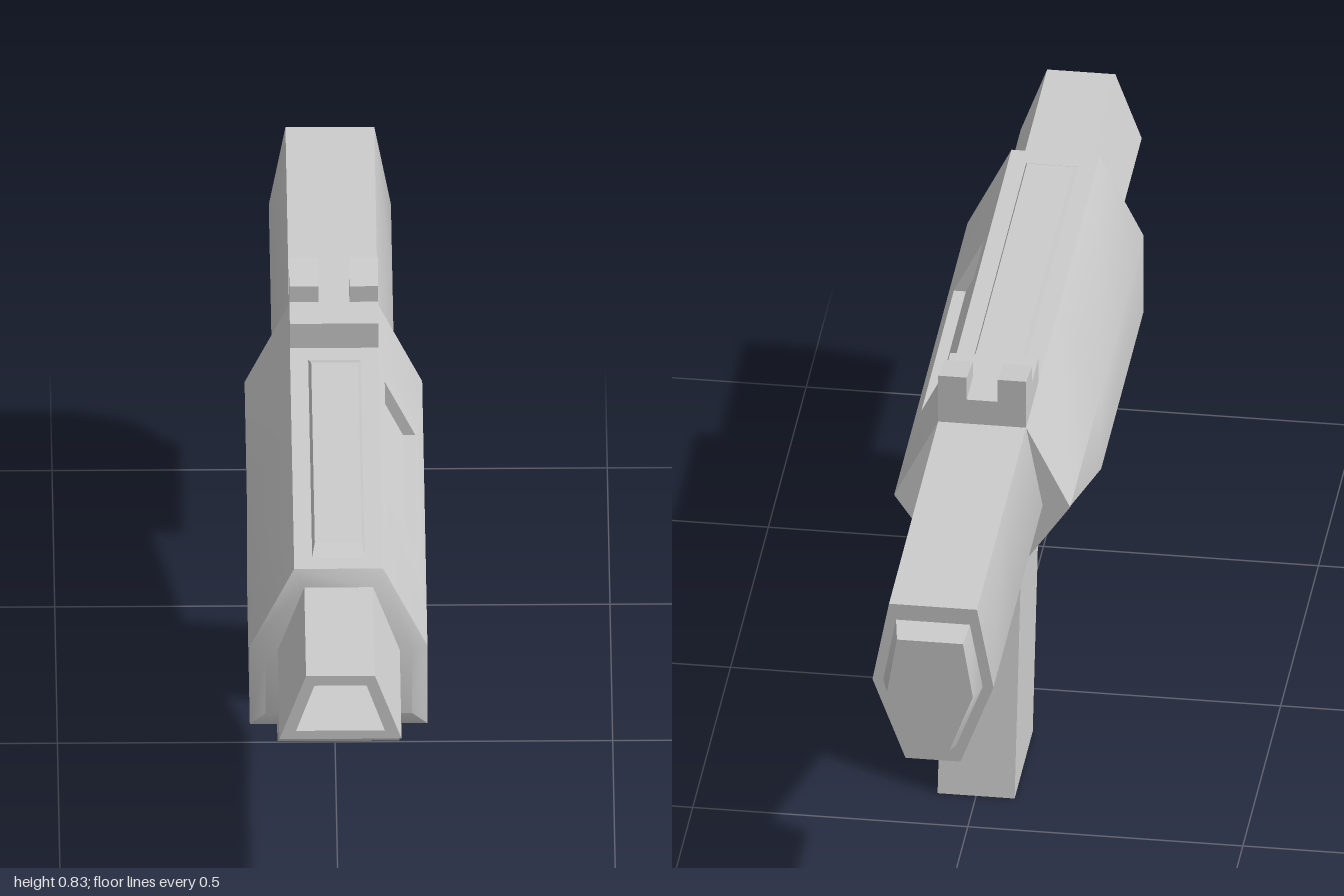
import * as THREE from 'three';
import { mergeGeometries, toCreasedNormals } from 'three/addons/utils/BufferGeometryUtils.js';

const material = new THREE.MeshStandardMaterial({ color: 0xcccccc });

// Polygons (corner lists, counter-clockwise from outside) to a triangle soup
function polygons(faces) {
  const out = [];
  const a = new THREE.Vector3(), b = new THREE.Vector3();
  for (const f of faces) {
    for (let i = 1; i < f.length - 1; i++) {
      a.subVectors(f[i], f[0]);
      b.subVectors(f[i + 1], f[0]);
      if (a.cross(b).length() < 1e-9) continue;
      for (const p of [f[0], f[i], f[i + 1]]) out.push(p.x, p.y, p.z);
    }
  }
  const g = new THREE.BufferGeometry();
  g.setAttribute('position', new THREE.Float32BufferAttribute(out, 3));
  return g;
}

// Six-sided section: half widths at top, middle and bottom
function hexSection(z, [top, mid, bottom], [yTop, yMid, yBottom]) {
  return [[mid, yMid], [top, yTop], [-top, yTop], [-mid, yMid], [-bottom, yBottom], [bottom, yBottom]]
    .map(([x, y]) => new THREE.Vector3(x, y, z));
}

// Skin over sections ordered front to back; skip(i, j) leaves a side open
function loft(sections, skip = () => false) {
  const faces = [sections[0], [...sections.at(-1)].reverse()];
  for (let i = 0; i < sections.length - 1; i++) {
    const f = sections[i], b = sections[i + 1], n = f.length;
    for (let j = 0; j < n; j++) {
      const k = (j + 1) % n;
      if (!skip(i, j)) faces.push([f[j], b[j], b[k], f[k]]);
    }
  }
  return polygons(faces);
}

// Side profile of [z, y] points, extruded across x
function sideExtrude(profile, width, x = 0) {
  const shape = new THREE.Shape(profile.map(([z, y]) => new THREE.Vector2(-z, y)));
  return new THREE.ExtrudeGeometry(shape, { depth: width, bevelEnabled: false })
    .translate(0, 0, -width / 2).rotateY(Math.PI / 2).translate(x, 0, 0);
}

function trapezoid(Type, bottom, top, y0, y1) {
  return new Type([[-bottom, y0], [bottom, y0], [top, y1], [-top, y1]].map(p => new THREE.Vector2(...p)));
}

export function createModel() {
  const model = new THREE.Group();
  const add = (name, geometry) => {
    const mesh = new THREE.Mesh(geometry, material);
    mesh.name = name;
    model.add(mesh);
  };
  const smooth = g => toCreasedNormals(g, 0.6);
  const levels = [0.73, 0.57, 0.41];

  // Body: bevelled nose, flat-sided front, underside narrowing to the rear
  const bodyShell = loft([
    hexSection(0.675, [0.062, 0.132, 0.132], [0.7, 0.565, 0.44]),
    hexSection(0.66, [0.08, 0.16, 0.16], levels),
    hexSection(0.1, [0.08, 0.16, 0.16], levels),
    hexSection(-0.31, [0.08, 0.16, 0.05], levels),
  ], (i, j) => i > 0 && j === 0);

  // Sloped left panel with the window opening
  const slopeX = y => 0.16 - 0.5 * (y - 0.57);
  const rect = (Type, z0, z1, y0, y1) => new Type(
    [[-z0, y0], [-z1, y0], [-z1, y1], [-z0, y1]].map(p => new THREE.Vector2(...p)));
  const panelShape = rect(THREE.Shape, 0.66, -0.31, 0.57, 0.73);
  panelShape.holes.push(rect(THREE.Path, 0.37, -0.06, 0.6, 0.71));
  const panel = new THREE.ShapeGeometry(panelShape).toNonIndexed();
  panel.deleteAttribute('uv');
  panel.deleteAttribute('normal');
  const pos = panel.attributes.position;
  for (let i = 0; i < pos.count; i++) {
    pos.setXYZ(i, slopeX(pos.getY(i)), pos.getY(i), -pos.getX(i));
  }
  add('body', smooth(mergeGeometries([bodyShell, panel])));

  // Pocket behind the window
  const ring = (y1, depth) => [[0.6, 0.37], [0.6, -0.06], [y1, -0.06], [y1, 0.37]]
    .map(([y, z]) => new THREE.Vector3(slopeX(y) - depth, y, z));
  const outer = ring(0.71, 0), inner = ring(0.7, 0.022);
  const pocket = polygons([inner, ...outer.map((p, j) =>
    [p, outer[(j + 1) % 4], inner[(j + 1) % 4], inner[j]])]);
  pocket.computeVertexNormals();
  add('sidePocket', pocket);

  // Hollow barrel
  const barrel = trapezoid(THREE.Shape, 0.11, 0.062, 0.57, 0.7);
  barrel.holes.push(trapezoid(THREE.Path, 0.08, 0.047, 0.587, 0.68));
  add('barrel', new THREE.ExtrudeGeometry(barrel, { depth: 0.34, bevelEnabled: false }).translate(0, 0, 0.66));

  // Stock with the sloped cut-out underneath
  const widths = [0.08, 0.11, 0.05];
  add('stock', smooth(loft([
    hexSection(-0.31, widths, levels),
    hexSection(-0.64, [0.08, 0.11, 0.11], [0.73, 0.57, 0.57]),
    hexSection(-0.64, widths, levels),
    hexSection(-0.96, widths, levels),
  ])));
  add('stockEndCap', smooth(loft([
    hexSection(-0.955, [0.068, 0.092, 0.042], [0.7, 0.57, 0.44]),
    hexSection(-1, [0.06, 0.078, 0.035], [0.68, 0.57, 0.455]),
  ])));

  // Grip and lower plate
  add('grip', sideExtrude([[-0.15, 0], [-0.39, 0], [-0.31, 0.41], [-0.07, 0.41]], 0.14));
  add('lowerPlate', sideExtrude([[0.635, 0.36], [0.14, 0.36], [0.115, 0.412], [0.66, 0.412]], 0.22));

  // Top ridge, slightly narrower along its crown
  const ridge = sideExtrude([[0.62, 0.728], [-0.11, 0.728], [-0.07, 0.745], [0.59, 0.745]], 0.096);
  const rp = ridge.attributes.position;
  for (let i = 0; i < rp.count; i++) if (rp.getY(i) > 0.74) rp.setX(i, rp.getX(i) * 0.88);
  ridge.computeVertexNormals();
  add('topRidge', ridge);

  // Rear sight: base and two posts
  add('sightBase', sideExtrude([[-0.15, 0.725], [-0.31, 0.725], [-0.31, 0.78], [-0.15, 0.78]], 0.16));
  for (const [name, side] of [['leftSightPost', 1], ['rightSightPost', -1]]) {
    add(name, sideExtrude([[-0.23, 0.775], [-0.31, 0.775], [-0.31, 0.826], [-0.23, 0.812]], 0.052, side * 0.054));
  }
  return model;
}
